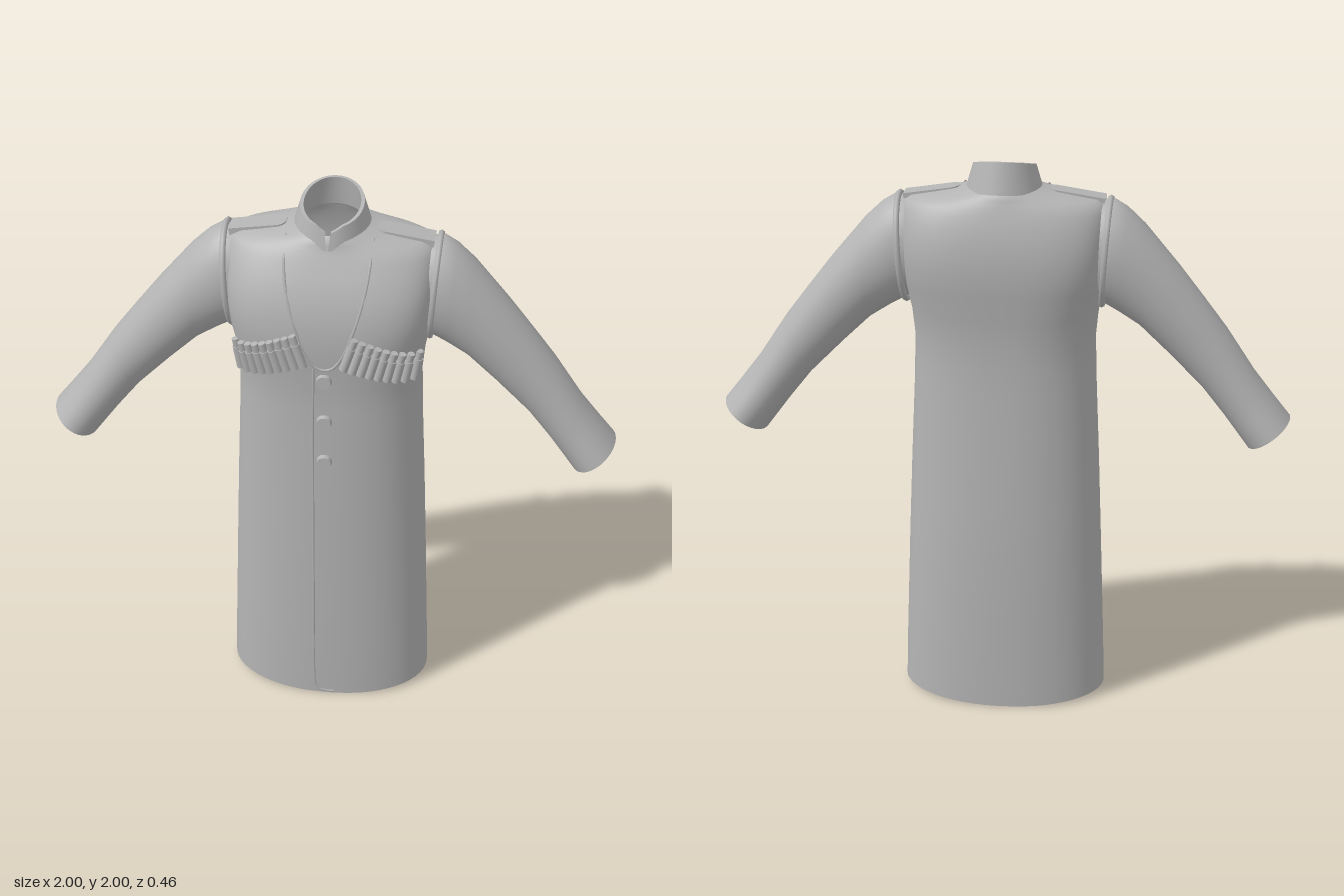
import * as THREE from 'three';

const cloth = new THREE.MeshStandardMaterial({ color: 0xb4b4b4, side: THREE.DoubleSide });
cloth.name = 'grey cloth';

// torso sections: y, half width, front z, back z, squareness
const SECTIONS = [
  [0, 0.367, 0.185, -0.222, 2.2], [0.2, 0.362, 0.188, -0.224, 2.2], [0.6, 0.347, 0.19, -0.225, 2.2],
  [0.9, 0.335, 0.19, -0.217, 2.2], [1.2, 0.321, 0.188, -0.206, 2.3], [1.36, 0.316, 0.188, -0.206, 2.4],
  [1.46, 0.325, 0.197, -0.214, 2.6], [1.55, 0.342, 0.204, -0.228, 2.9], [1.64, 0.354, 0.196, -0.236, 3.1],
  [1.72, 0.357, 0.174, -0.23, 3], [1.78, 0.357, 0.145, -0.218, 2.7], [1.82, 0.354, 0.125, -0.206, 2.4],
  [1.845, 0.348, 0.112, -0.198, 2.1], [1.862, 0.325, 0.104, -0.192, 1.8], [1.876, 0.24, 0.1, -0.187, 1.8],
  [1.89, 0.16, 0.095, -0.182, 2], [1.905, 0.117, 0.082, -0.165, 2],
];

function sectionAt(y) {
  let i = 0;
  while (i < SECTIONS.length - 2 && SECTIONS[i + 1][0] < y) i++;
  const [a, b] = [SECTIONS[i], SECTIONS[i + 1]];
  const t = THREE.MathUtils.clamp((y - a[0]) / (b[0] - a[0]), 0, 1);
  return a.map((v, k) => v + (b[k] - v) * t);
}

// z of the chest surface at a front position
function frontZ(x, y) {
  const [, rx, f, b, n] = sectionAt(y);
  const u = Math.min(1, Math.abs(x) / rx);
  return (f + b) / 2 + ((f - b) / 2) * Math.pow(1 - Math.pow(u, n), 1 / n);
}

// surface through rows of points
function loft(rows, closed = true) {
  const n = rows[0].length, index = [];
  for (let i = 0; i < rows.length - 1; i++) {
    for (let j = 0; j < (closed ? n : n - 1); j++) {
      const k = (j + 1) % n, a = i * n + j, b = i * n + k, c = b + n, d = a + n;
      index.push(a, b, c, a, c, d);
    }
  }
  const g = new THREE.BufferGeometry().setFromPoints(rows.flat());
  g.setIndex(index);
  g.computeVertexNormals();
  return g;
}

function part(name, geometry, parent) {
  const m = new THREE.Mesh(geometry, cloth);
  m.name = name;
  parent.add(m);
  return m;
}

const signedPow = (v, p) => Math.sign(v) * Math.pow(Math.abs(v), p);

function torsoRing(y, scale = 1) {
  const [, rx, f, b, n] = sectionAt(y);
  return Array.from({ length: 56 }, (_, j) => {
    const a = (j / 56) * Math.PI * 2, s = Math.sin(a);
    const lift = y < 0.2 ? 0.027 * s * s * (1 - y / 0.2) : 0;
    return new THREE.Vector3(
      rx * scale * signedPow(s, 2 / n), y + lift,
      (f + b) / 2 + ((f - b) / 2) * scale * signedPow(Math.cos(a), 2 / n));
  });
}

function seam(name, points, radius, parent, closed = false) {
  const curve = new THREE.CatmullRomCurve3(points, closed);
  return part(name, new THREE.TubeGeometry(curve, 60, radius, 6, closed), parent);
}

// sleeve stations: top x, top y, bottom x, bottom y, half depth
const SLEEVE = [
  [0.335, 1.855, 0.325, 1.505, 0.122], [0.375, 1.86, 0.365, 1.485, 0.127], [0.42, 1.833, 0.40, 1.465, 0.124],
  [0.48, 1.777, 0.47, 1.42, 0.117], [0.6, 1.635, 0.57, 1.325, 0.106], [0.69, 1.52, 0.63, 1.265, 0.1],
  [0.77, 1.415, 0.69, 1.205, 0.097], [0.87, 1.265, 0.77, 1.105, 0.102], [0.94, 1.175, 0.815, 1.045, 0.113],
  [1.0, 1.1, 0.855, 0.992, 0.124],
];

function sleeveRing([tx, ty, bx, by, depth], scale = 1) {
  return Array.from({ length: 36 }, (_, j) => {
    const a = (j / 36) * Math.PI * 2, s = -Math.sin(a) * scale;
    return new THREE.Vector3(
      (tx + bx) / 2 + ((tx - bx) / 2) * s, (ty + by) / 2 + ((ty - by) / 2) * s,
      -0.043 + Math.cos(a) * depth * scale);
  });
}

function addArm(group) {
  // sleeve with a turned-in cuff
  const last = SLEEVE[SLEEVE.length - 1];
  const rows = SLEEVE.map((s) => sleeveRing(s));
  rows.push(sleeveRing(last), sleeveRing(last, 0.9), sleeveRing(last, 0.9));
  for (let i = SLEEVE.length - 2; i >= 5; i--) rows.push(sleeveRing(SLEEVE[i], 0.9));
  part('sleeve', loft(rows), group);

  // raised armhole seam
  const ring = Array.from({ length: 20 }, (_, j) => {
    const a = (j / 20) * Math.PI * 2, s = Math.sin(a);
    return new THREE.Vector3(0.35 + 0.012 * s, 1.675 + 0.185 * s, -0.043 + 0.136 * Math.cos(a));
  });
  seam('armholeSeam', ring, 0.011, group, true);

  // shoulder strap with a tapered inner end
  const shape = new THREE.Shape();
  shape.moveTo(0.1, -0.038);
  shape.lineTo(0.1, 0.038);
  shape.lineTo(-0.07, 0.038);
  shape.quadraticCurveTo(-0.095, 0.03, -0.095, 0);
  shape.quadraticCurveTo(-0.095, -0.03, -0.07, -0.038);
  const strap = new THREE.ExtrudeGeometry(shape, { depth: 0.024, bevelEnabled: false });
  strap.rotateX(-Math.PI / 2);
  const s = part('shoulderStrap', strap, group);
  s.position.set(0.243, 1.857, -0.035);
  s.rotation.z = -0.15;

  // row of cartridges in loops across the chest
  const top = new THREE.Vector2(), low = new THREE.Vector2();
  const up = new THREE.Vector3(0, 1, 0);
  const count = 9;
  for (let i = 0; i < count; i++) {
    const t = i / (count - 1);
    top.set(0.105 + 0.21 * t, 1.592 - 0.09 * t);
    low.set(0.067 + 0.23 * t, 1.472 - 0.085 * t);
    const a = new THREE.Vector3(top.x, top.y, frontZ(top.x, top.y) + 0.014);
    const b = new THREE.Vector3(low.x, low.y, frontZ(low.x, low.y) + 0.016);
    const dir = a.clone().sub(b);
    const holder = new THREE.Group();
    holder.name = 'cartridge';
    holder.position.copy(a).add(b).multiplyScalar(0.5);
    holder.quaternion.setFromUnitVectors(up, dir.clone().normalize());
    part('cartridgeCase', new THREE.CylinderGeometry(0.0125, 0.0125, dir.length(), 12), holder);
    const loop = part('cartridgeLoop', new THREE.CylinderGeometry(0.0155, 0.0155, dir.length() * 0.72, 12), holder);
    loop.position.y = -dir.length() * 0.13;
    group.add(holder);
  }
}

function addCollar(group) {
  // standing collar, higher at the back, with a notch at the front
  const N = 48;
  const ring = (rx, front, back, top) => Array.from({ length: N + 1 }, (_, j) => {
    const gap = top ? 0.1 : 0.015;
    const a = gap + (j / N) * (Math.PI * 2 - 2 * gap);
    const k = (1 - Math.cos(a)) / 2;
    const end = Math.min(j, N - j);
    const y = top ? 1.94 + 0.062 * k - 0.018 * Math.max(0, 1 - end / 3) : 1.86 + 0.035 * k;
    return new THREE.Vector3(rx * Math.sin(a), y, (front + back) / 2 + ((front - back) / 2) * Math.cos(a));
  });
  const outer = ring(0.107, 0.094, -0.162, true), inner = ring(0.095, 0.082, -0.15, true);
  part('collar', loft([
    ring(0.135, 0.105, -0.186, false), outer, outer, inner, inner, ring(0.115, 0.083, -0.166, false),
  ], false), group);
}

export function createModel() {
  const coat = new THREE.Group();
  coat.name = 'coat';

  // hollow body with a turned-in hem
  const heights = [];
  SECTIONS.forEach(([y], i) => {
    heights.push(y);
    if (i < SECTIONS.length - 1 && SECTIONS[i + 1][0] - y > 0.15) heights.push((y + SECTIONS[i + 1][0]) / 2);
  });
  const rows = [torsoRing(0.3, 0.965), torsoRing(0, 0.965), torsoRing(0, 0.965), torsoRing(0)];
  part('body', loft([...rows, ...heights.map((y) => torsoRing(y))]), coat);

  addCollar(coat);

  // chest panel seam and front opening
  const onFront = ([x, y]) => new THREE.Vector3(x, y, frontZ(x, y));
  const half = [[0.145, 1.885], [0.143, 1.82], [0.132, 1.74], [0.098, 1.61], [0.05, 1.49], [0.025, 1.462]];
  const vee = [...half, [0, 1.455], ...half.map(([x, y]) => [-x, y]).reverse()];
  seam('chestPanelSeam', vee.map(onFront), 0.005, coat);
  const opening = [[-0.035, 1.46], [-0.04, 1.2], [-0.04, 0.9], [-0.04, 0.5], [-0.04, 0.1], [-0.034, 0.035], [-0.01, 0.012], [0.03, 0.01]];
  seam('frontOpening', opening.map(onFront), 0.004, coat);

  // buttons
  for (const y of [1.41, 1.24, 1.075]) {
    const button = part('button', new THREE.CylinderGeometry(0.024, 0.028, 0.02, 24), coat);
    button.rotation.x = Math.PI / 2;
    button.position.set(0, y, frontZ(0, y) + 0.006);
  }

  // mirrored sleeves and shoulder parts
  for (const side of [1, -1]) {
    const arm = new THREE.Group();
    arm.name = side > 0 ? 'leftSide' : 'rightSide';
    addArm(arm);
    arm.scale.x = side;
    coat.add(arm);
  }
  return coat;
}
